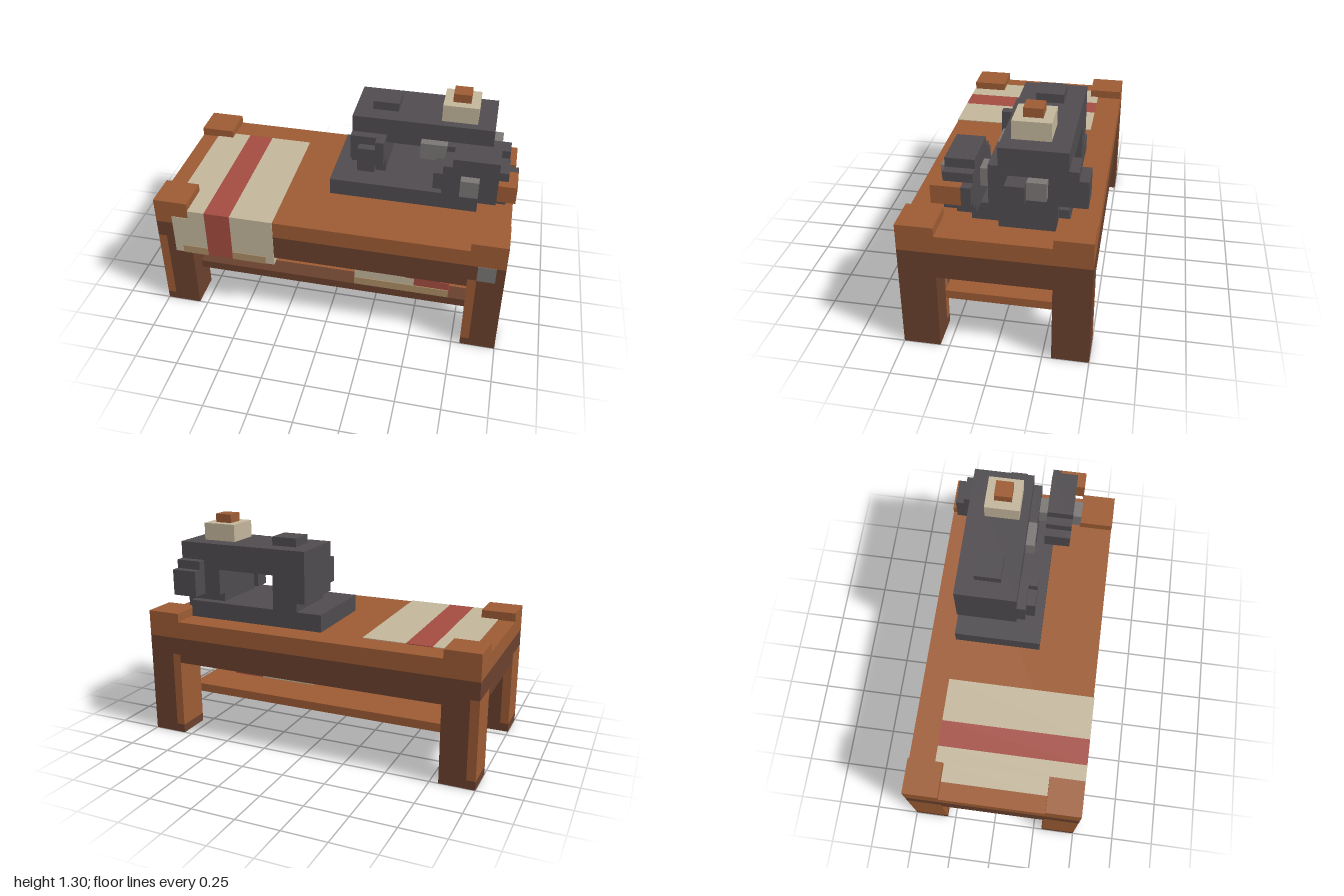
import * as THREE from 'three';

const mat = (name, color) => {
  const m = new THREE.MeshStandardMaterial({ color });
  m.name = name;
  return m;
};

export function createModel() {
  const wood = mat('warm wood', 0x9c5b33);
  const brown = mat('dark wood', 0x69402d);
  const linen = mat('linen', 0xc2b59b);
  const hem = mat('hem tan', 0xab8d66);
  const red = mat('red cloth', 0xa34c40);
  const iron = mat('dark iron', 0x4f4b4f);
  const steel = mat('steel', 0x7a7775);

  const model = new THREE.Group();
  model.name = 'sewingTable';
  const group = (name) => {
    const g = new THREE.Group();
    g.name = name;
    model.add(g);
    return g;
  };
  // Box given by its limits on each axis
  const box = (parent, name, material, x0, x1, y0, y1, z0, z1) => {
    const mesh = new THREE.Mesh(new THREE.BoxGeometry(x1 - x0, y1 - y0, z1 - z0), material);
    mesh.position.set((x0 + x1) / 2, (y0 + y1) / 2, (z0 + z1) / 2);
    mesh.name = name;
    parent.add(mesh);
  };

  // Table top, legs with a light edge, and corner caps
  const table = group('table');
  box(table, 'tableTop', wood, -1, 1, 0.6, 0.7, -0.5, 0.5);
  for (const x of [-1, 0.8]) {
    for (const z of [-0.5, 0.3]) {
      box(table, 'cornerCap', wood, x, x + 0.2, 0.7, 0.75, z, z + 0.2);
      box(table, 'leg', brown, x + 0.05, x + 0.2, 0, 0.6, z, z + 0.2);
      box(table, 'legFoot', brown, x, x + 0.05, 0, 0.05, z, z + 0.2);
      box(table, 'legEdge', wood, x, x + 0.05, 0.05, 0.5, z, z + 0.2);
      box(table, 'legHead', brown, x, x + 0.05, 0.5, 0.6, z, z + 0.2);
    }
  }
  // Apron between the legs
  for (const s of [0, 1]) {
    const z = s ? 0.4 : -0.5, x = s ? 0.9 : -1;
    box(table, 'longApron', brown, -0.8, 0.8, 0.45, 0.6, z, z + 0.1);
    box(table, 'sideApron', brown, x, x + 0.1, 0.45, 0.6, -0.3, 0.3);
  }
  // Lower shelf and front rail
  box(table, 'shelf', wood, -0.85, 0.85, 0.2, 0.25, -0.3, 0.3);
  box(table, 'shelfRail', brown, -0.8, 0.8, 0.2, 0.25, 0.3, 0.4);
  box(table, 'legPlate', steel, 0.85, 0.95, 0.5, 0.6, 0.499, 0.503);

  // Striped runner lying on the table and hanging over the front
  const runner = group('runner');
  const t = 0.004;
  box(runner, 'runnerSide', linen, -0.9, -0.8, 0.7, 0.7 + t, -0.3, 0.3);
  for (const [x0, x1, m] of [[-0.8, -0.7, linen], [-0.7, -0.55, red], [-0.55, -0.3, linen]]) {
    box(runner, 'runnerTop', m, x0, x1, 0.7, 0.7 + t, -0.35, 0.5 + t);
    box(runner, 'runnerDrape', m, x0, x1, 0.45, 0.7, 0.5, 0.5 + t);
    box(runner, 'runnerLip', m, x0, x1, 0.4, 0.45, 0.45, 0.5 + t);
  }
  box(runner, 'runnerDrape', linen, -0.9, -0.8, 0.4, 0.65, 0.5, 0.5 + t);
  for (const [x0, x1] of [[-0.85, -0.7], [-0.55, -0.35]]) {
    box(runner, 'runnerHem', hem, x0, x1, 0.4, 0.45, 0.5 + t, 0.5 + 2 * t);
  }

  // Folded cloth on the shelf
  const cloth = group('foldedCloth');
  box(cloth, 'lowerFold', linen, 0.15, 0.5, 0.25, 0.35, -0.05, 0.395);
  box(cloth, 'lowerFoldEnd', red, 0.5, 0.7, 0.25, 0.35, -0.05, 0.395);
  box(cloth, 'lowerFoldHem', hem, 0.15, 0.7, 0.25, 0.3, 0.395, 0.4);
  box(cloth, 'upperFold', linen, 0.15, 0.45, 0.35, 0.45, 0, 0.395);
  box(cloth, 'upperFoldEnd', red, 0.45, 0.65, 0.35, 0.45, 0, 0.395);
  box(cloth, 'upperFoldHem', linen, 0.15, 0.65, 0.4, 0.45, 0.395, 0.4);

  // Sewing machine body
  const machine = group('sewingMachine');
  box(machine, 'bed', iron, -0.05, 0.8, 0.7, 0.8, -0.35, 0.15);
  box(machine, 'arm', iron, 0.05, 0.85, 1.0, 1.15, -0.35, 0);
  box(machine, 'pillar', iron, 0.6, 0.85, 0.7, 1.0, -0.3, 0);
  box(machine, 'pillarBack', iron, 0.6, 0.85, 0.85, 1.0, -0.35, -0.3);
  box(machine, 'pillarFront', iron, 0.6, 0.85, 0.8, 1.05, 0, 0.05);
  box(machine, 'needleHead', iron, 0.05, 0.25, 0.85, 1.0, -0.35, 0);
  box(machine, 'needleFoot', iron, 0.1, 0.25, 0.8, 0.85, -0.35, 0);
  box(machine, 'facePlate', iron, 0.05, 0.25, 0.9, 1.05, 0, 0.05);
  box(machine, 'needleBar', iron, 0.1, 0.2, 0.85, 1.0, 0.05, 0.1);
  box(machine, 'threadLever', iron, 0.2, 0.25, 0.9, 1.05, 0.05, 0.1);
  box(machine, 'topKnob', iron, 0.15, 0.3, 1.15, 1.2, -0.25, -0.1);
  box(machine, 'stitchDial', steel, 0.45, 0.6, 0.95, 1.05, 0, 0.05);
  // Motor at the back and winder at the side
  box(machine, 'motor', iron, 0.7, 0.85, 0.85, 1.05, -0.4, -0.35);
  box(machine, 'motorCap', iron, 0.7, 0.85, 0.85, 1.0, -0.45, -0.4);
  box(machine, 'winder', steel, 0.85, 0.9, 0.9, 1.0, -0.25, -0.15);
  box(machine, 'winderArm', iron, 0.85, 0.95, 0.9, 1.0, -0.15, -0.05);

  // Thread spool
  box(machine, 'spool', linen, 0.55, 0.75, 1.15, 1.25, -0.25, -0.05);
  box(machine, 'spoolPin', wood, 0.6, 0.7, 1.25, 1.3, -0.2, -0.1);

  // Stepped hand wheel, its hub and crank
  const wheel = group('handWheel');
  box(wheel, 'wheelCore', iron, 0.6, 0.9, 0.85, 1.05, 0.1, 0.25);
  box(wheel, 'wheelTop', iron, 0.65, 0.9, 1.05, 1.1, 0.1, 0.25);
  box(wheel, 'wheelLeft', iron, 0.9, 0.95, 0.85, 1.05, 0.1, 0.25);
  box(wheel, 'wheelRight', iron, 0.55, 0.6, 0.9, 1.0, 0.1, 0.25);
  box(wheel, 'wheelBottom', iron, 0.6, 0.9, 0.8, 0.85, 0.1, 0.2);
  box(wheel, 'wheelFoot', iron, 0.65, 0.75, 0.75, 0.8, 0.1, 0.2);
  box(wheel, 'axle', steel, 0.7, 0.8, 0.9, 1.0, 0.05, 0.1);
  box(wheel, 'hub', steel, 0.7, 0.8, 0.9, 1.0, 0.25, 0.3);
  box(wheel, 'crankArm', iron, 0.95, 1, 0.9, 1.0, 0.1, 0.15);
  box(wheel, 'crankHandle', wood, 0.95, 1, 0.9, 1.0, 0.15, 0.3);
  box(wheel, 'crankGrip', wood, 0.9, 0.95, 0.9, 1.0, 0.25, 0.3);

  return model;
}
